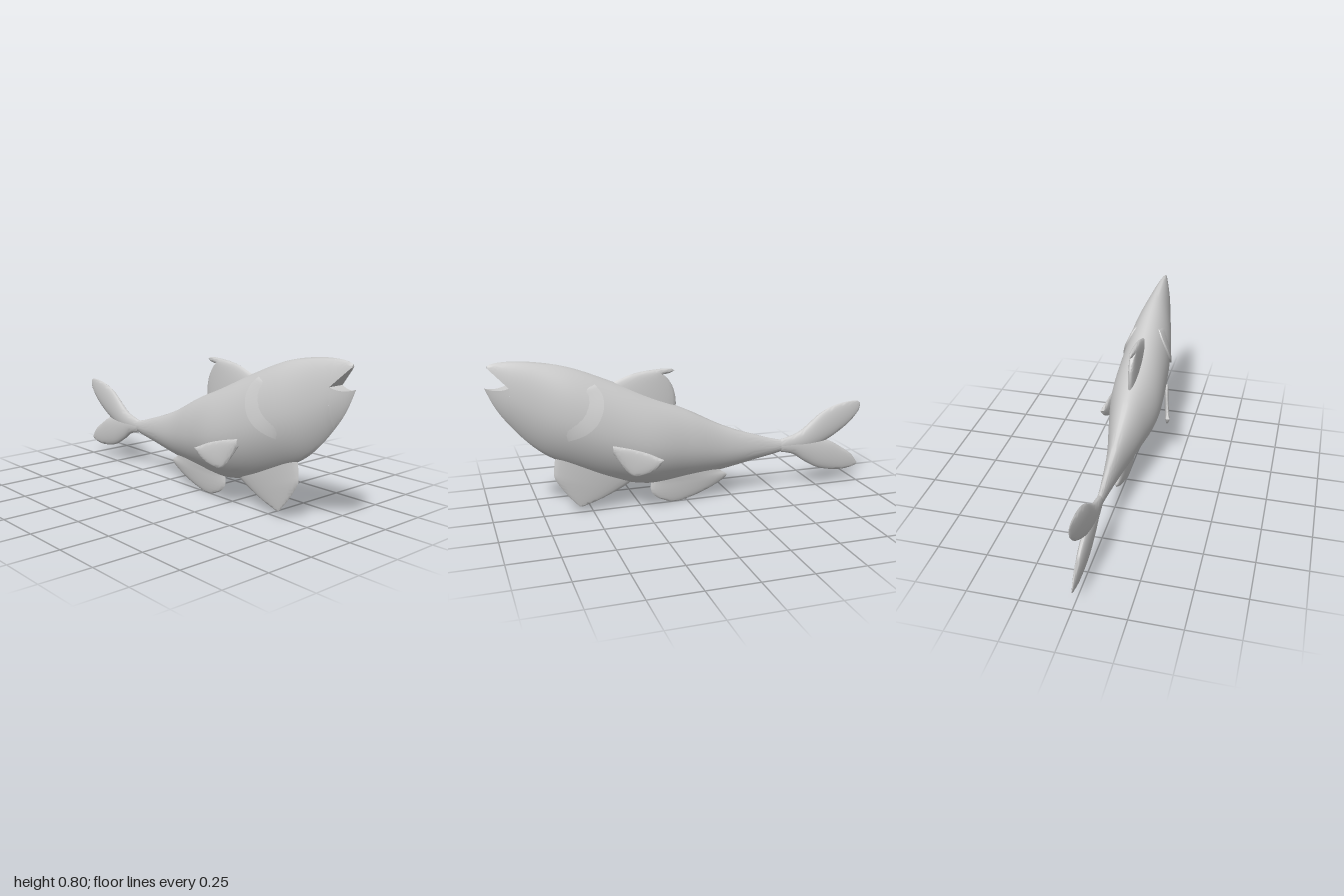
import * as THREE from 'three';
import { toCreasedNormals } from 'three/addons/utils/BufferGeometryUtils.js';

const grey = new THREE.MeshStandardMaterial({ color: 0xcccccc });
const greyThin = new THREE.MeshStandardMaterial({ color: 0xcccccc, side: THREE.DoubleSide });

// Body profile along x: [x, bottom y, top y, half width]
const profile = [
  [-0.68, 0.238, 0.268, 0.008], [-0.6, 0.232, 0.272, 0.013], [-0.5, 0.21, 0.29, 0.017],
  [-0.4, 0.192, 0.32, 0.026], [-0.2, 0.155, 0.393, 0.052], [0, 0.13, 0.495, 0.095],
  [0.2, 0.12, 0.583, 0.133], [0.4, 0.165, 0.675, 0.131], [0.6, 0.255, 0.755, 0.112],
  [0.76, 0.35, 0.79, 0.077], [0.89, 0.487, 0.80, 0.045], [0.96, 0.59, 0.793, 0.02],
  [1, 0.68, 0.775, 0.004],
];
const tailX = profile[0][0];
const interp = new THREE.CubicInterpolant(
  profile.map(r => r[0]), profile.flatMap(r => r.slice(1)), 3, new Float32Array(3));

function section(x) {
  const [bottom, top, w] = interp.evaluate(x);
  return { mid: (bottom + top) / 2, h: (top - bottom) / 2, w };
}
// Rounded back, narrower keeled belly
const bulge = a => Math.sign(Math.sin(a)) * Math.abs(Math.sin(a)) ** (Math.cos(a) > 0 ? 1.1 : 1.7);
const cutAngle = (s, y) => Math.acos(THREE.MathUtils.clamp((y - s.mid) / s.h, -1, 1));

// Part of a body cross-section between two angles measured from the top
function ring(x, from, to, n) {
  const s = section(x);
  return Array.from({ length: n }, (_, i) => {
    const a = from + (to - from) * i / (n - 1);
    return [x, s.mid + s.h * Math.cos(a), s.w * bulge(a)];
  });
}

// Surface through a list of cross-sections
function loft(rings, closed = true, crease = 0.9) {
  const n = rings[0].length, index = [];
  for (let i = 0; i < rings.length - 1; i++) {
    for (let j = 0; j < (closed ? n : n - 1); j++) {
      const k = (j + 1) % n, a = i * n, b = a + n;
      index.push(a + j, a + k, b + j, a + k, b + k, b + j);
    }
  }
  const geo = new THREE.BufferGeometry();
  geo.setAttribute('position', new THREE.Float32BufferAttribute(rings.flat(2), 3));
  geo.setIndex(index);
  return toCreasedNormals(geo, crease);
}

// A ring shrunk to its middle, to close an end
function point(r) {
  const c = [0, 1, 2].map(k => r.reduce((sum, p) => sum + p[k], 0) / r.length);
  return r.map(() => c);
}

// Lens-shaped fin between two edge curves that meet at the tip.
// Seen from +z with the tip upwards, edgeA is on the left.
function fin(edgeA, edgeB, thick, shear = () => 0) {
  const curve = pts => new THREE.SplineCurve(pts.map(p => new THREE.Vector2(...p)));
  const A = curve(edgeA), B = curve(edgeB), rows = 28, n = 12, rings = [];
  for (let i = 0; i <= rows; i++) {
    const t = i / rows, a = A.getPointAt(t), b = B.getPointAt(t), r = [];
    for (let j = 0; j < 2 * n; j++) {
      const ang = Math.PI * j / n;
      const p = a.clone().lerp(b, (1 - Math.cos(ang)) / 2);
      r.push([p.x, p.y, thick(t) * Math.sin(ang) + shear(p.x)]);
    }
    rings.push(r);
  }
  return loft(rings);
}

export function createModel() {
  const model = new THREE.Group();
  const add = (name, geo, mat = grey) => {
    const mesh = new THREE.Mesh(geo, mat);
    mesh.name = name;
    model.add(mesh);
  };

  // Body, from tail root to the corner of the mouth
  const mouthX = 0.89, mouthY = 0.68;
  const body = [];
  for (let i = 0; i <= 60; i++) {
    body.push(ring(tailX + (mouthX - tailX) * i / 60, 0, 2 * Math.PI, 49).slice(0, 48));
  }
  add('body', loft([point(body[0]), ...body]));

  // Jaws, cut from the same cross-sections and parted by the open mouth
  const upper = [], lower = [];
  for (let i = 0; i <= 10; i++) {
    const t = i / 10;
    const xu = mouthX + 0.09 * t, au = cutAngle(section(xu), mouthY + 0.093 * t);
    upper.push(ring(xu, -au, au, 25));
    const xl = mouthX + 0.11 * t;
    const al = cutAngle(section(xl), mouthY - 0.045 * t * (1 - t) - 0.001 * t);
    lower.push(ring(xl, al, 2 * Math.PI - al, 25));
  }
  add('upperJaw', loft([...upper, point(upper[10])]));
  add('lowerJaw', loft([...lower, point(lower[10])]));

  // Gill covers: a raised curved edge fading forward into the head
  const gill = new THREE.SplineCurve([[0.485, 0.675], [0.457, 0.63], [0.456, 0.57],
    [0.49, 0.495], [0.55, 0.443], [0.63, 0.41]].map(p => new THREE.Vector2(...p)));
  const steps = [[0, -0.006], [0, 0.011], [0.03, 0.007], [0.09, -0.003]];
  for (const side of [1, -1]) {
    const rows = [];
    for (let i = 0; i <= 24; i++) {
      const t = i / 24, p = gill.getPoint(t);
      const ahead = new THREE.Vector2(0.68, 0.62).sub(p).normalize();
      rows.push(steps.map(([d, lift]) => {
        const x = p.x + ahead.x * d, y = p.y + ahead.y * d, s = section(x);
        const raise = lift > 0 ? lift * Math.max(0, Math.sin(Math.PI * t)) ** 0.4 : lift;
        return [x, y, side * (s.w * bulge(cutAngle(s, y)) + raise)];
      }));
    }
    add(side > 0 ? 'leftGillCover' : 'rightGillCover', loft(rows, false), greyThin);
  }

  // Tail lobes
  const tailThick = t => 0.016 * (1 - t) + 0.06 * t * (1 - t);
  add('upperTailLobe', fin(
    [[-0.53, 0.22], [-0.68, 0.215], [-0.81, 0.262], [-0.925, 0.335], [-0.99, 0.405], [-1, 0.45]],
    [[-0.53, 0.285], [-0.64, 0.32], [-0.765, 0.415], [-0.87, 0.455], [-0.97, 0.465], [-1, 0.45]],
    tailThick));
  add('lowerTailLobe', fin(
    [[-0.53, 0.215], [-0.605, 0.195], [-0.67, 0.15], [-0.765, 0.1], [-0.89, 0.078], [-0.98, 0.09], [-1, 0.105]],
    [[-0.53, 0.28], [-0.68, 0.29], [-0.81, 0.255], [-0.89, 0.21], [-0.96, 0.16], [-1, 0.105]],
    tailThick));

  // Fins on the centre line
  const bellyThick = t => 0.027 * (1 - t) ** 0.9;
  add('dorsalFin', fin(
    [[0.06, 0.5], [0.06, 0.56], [0.075, 0.62], [0.107, 0.672], [0.13, 0.685], [0.095, 0.69], [0.065, 0.703]],
    [[0.42, 0.65], [0.28, 0.7], [0.17, 0.714], [0.09, 0.715], [0.065, 0.703]],
    t => 0.026 * Math.sqrt(1 - t)));
  add('pelvicFin', fin(
    [[0.68, 0.32], [0.69, 0.24], [0.685, 0.19], [0.63, 0.105], [0.57, 0.035]],
    [[0.28, 0.17], [0.315, 0.13], [0.44, 0.07], [0.545, 0.035], [0.57, 0.035]], bellyThick));
  add('analFin', fin(
    [[0.19, 0.15], [0.195, 0.08], [0.16, 0.035], [0.09, 0.003]],
    [[-0.17, 0.17], [-0.19, 0.145], [-0.222, 0.115], [-0.125, 0.056], [0.01, 0.01], [0.09, 0.003]], bellyThick));

  // Side fins, swept outward towards the tail
  for (const side of [1, -1]) {
    add(side > 0 ? 'leftSideFin' : 'rightSideFin', fin(
      [[0.42, 0.34], [0.37, 0.265], [0.32, 0.22], [0.25, 0.232], [0.2, 0.265], [0.18, 0.3]],
      [[0.42, 0.378], [0.33, 0.358], [0.25, 0.333], [0.18, 0.3]],
      () => 0.011,
      x => side * (0.182 - 0.23 * (x - 0.18))));
  }
  return model;
}
